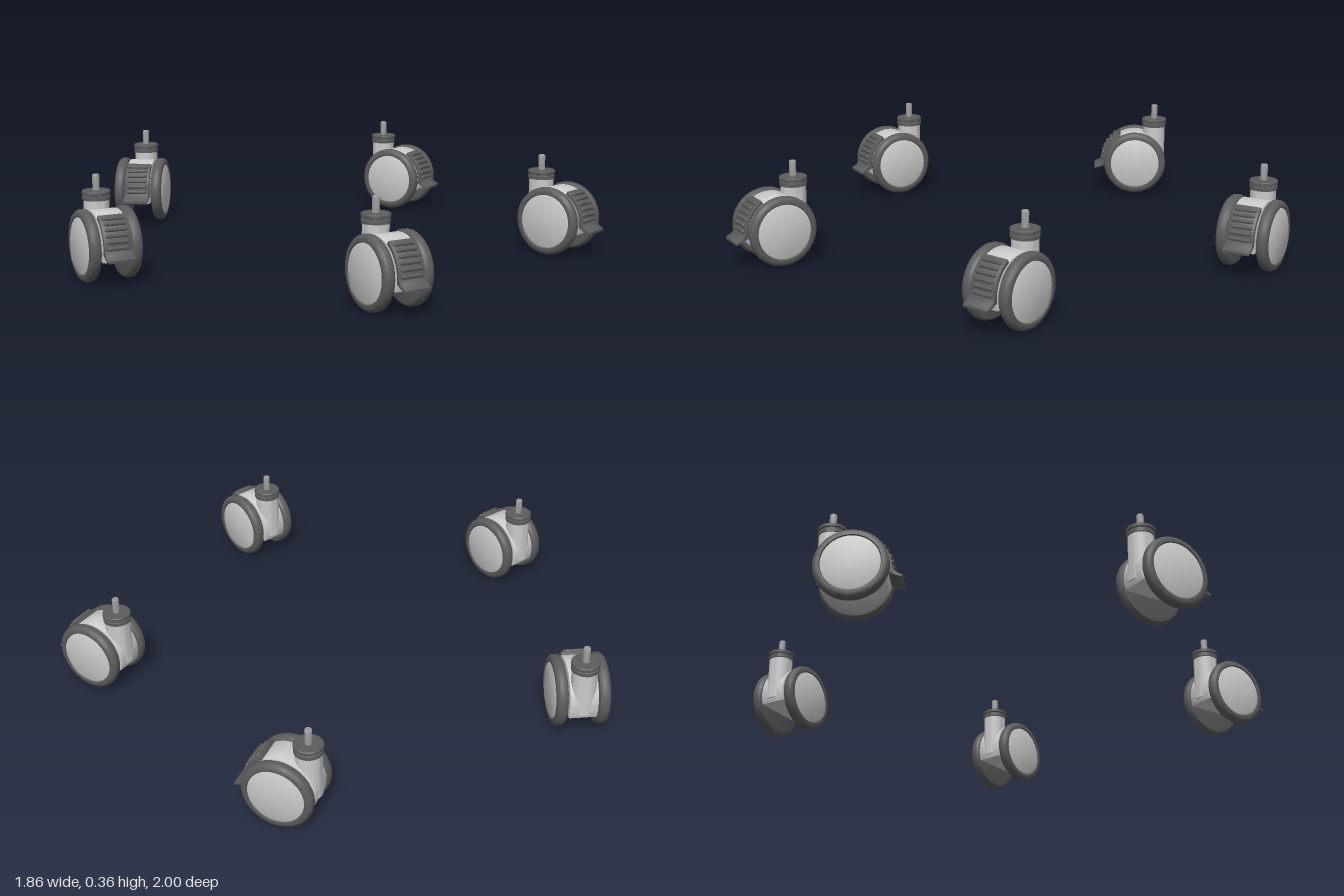
import * as THREE from 'three';
import { toCreasedNormals } from 'three/addons/utils/BufferGeometryUtils.js';

const R = 0.126;          // wheel radius
const OFFSET = 0.079;     // wheel axis behind the swivel stem
const grey = new THREE.MeshStandardMaterial({ color: 0xcccccc });
const dark = new THREE.MeshStandardMaterial({ color: 0x5c5c5c });
const steel = new THREE.MeshStandardMaterial({ color: 0x999999 });

function add(parent, name, geometry, material, x = 0, y = 0, z = 0) {
  const mesh = new THREE.Mesh(geometry, material);
  mesh.name = name;
  mesh.position.set(x, y, z);
  parent.add(mesh);
  return mesh;
}

// Lathe with crisp edges from [radius, height] pairs
function lathe(points, segments = 48) {
  const g = new THREE.LatheGeometry(points.map(p => new THREE.Vector2(p[0], p[1])), segments);
  return toCreasedNormals(g, 0.6);
}

// Side profile (shape x = model z) extruded across the width, centred on x = 0
function sideExtrude(shape, width, bevel = 0.003) {
  const g = new THREE.ExtrudeGeometry(shape, {
    depth: width - 2 * bevel, curveSegments: 32, bevelThickness: bevel,
    bevelSize: bevel, bevelOffset: -bevel, bevelSegments: 2,
  });
  g.translate(0, 0, -(width - 2 * bevel) / 2);
  g.rotateY(-Math.PI / 2);
  return toCreasedNormals(g, 0.6);
}

function wheel(side) {
  const g = new THREE.Group();
  g.name = side > 0 ? 'leftWheel' : 'rightWheel';
  // Tyre with rounded shoulders and a recess on its outer face
  const tyre = lathe([
    [0, 0], [0.108, 0], [0.119, 0.003], [0.124, 0.009], [R, 0.015], [R, 0.027],
    [0.124, 0.033], [0.119, 0.039], [0.11, 0.042], [0.102, 0.042], [0.1, 0.037], [0, 0.037],
  ]);
  tyre.rotateZ(-Math.PI / 2);
  add(g, 'tyre', tyre, dark);
  const cover = lathe([[0, 0.034], [0.099, 0.034], [0.099, 0.039], [0.095, 0.041], [0, 0.041]]);
  cover.rotateZ(-Math.PI / 2);
  add(g, 'wheelCover', cover, grey);
  g.position.x = side * 0.053;
  if (side < 0) g.rotation.y = Math.PI;
  return g;
}

function brakePedal() {
  const g = new THREE.Group();
  g.name = 'brakePedal';
  // Curved plate over the front of the hood, ending in a lip
  const s = new THREE.Shape();
  const a0 = 1.05, a1 = -0.12;
  s.absarc(0, 0, 0.117, a1, a0, false);
  s.absarc(0, 0, 0.131, a0, 0.02, true);
  s.lineTo(0.142, -0.012);
  s.lineTo(0.166, -0.025);
  s.lineTo(0.165, -0.034);
  s.lineTo(0.14, -0.027);
  s.closePath();
  add(g, 'pedalPlate', sideExtrude(s, 0.1), dark);
  // Grip ribs
  for (let i = 0; i < 6; i++) {
    const a = 0.07 + i * 0.165;
    const rib = add(g, 'pedalRib', new THREE.CapsuleGeometry(0.0075, 0.065, 4, 10), dark,
      0, Math.sin(a) * 0.132, Math.cos(a) * 0.132);
    rib.rotation.z = Math.PI / 2;
  }
  return g;
}

function caster() {
  const g = new THREE.Group();
  g.name = 'caster';

  // Swivel stem: neck, collar and threaded pin
  add(g, 'neck', lathe([[0, 0.1], [0.045, 0.1], [0.045, 0.272], [0, 0.272]], 32), grey);
  add(g, 'collar', lathe([
    [0, 0.268], [0.049, 0.268], [0.049, 0.28], [0.045, 0.282], [0.045, 0.286],
    [0.05, 0.288], [0.05, 0.297], [0.047, 0.3], [0, 0.3],
  ], 32), dark);
  add(g, 'pin', lathe([[0, 0.295], [0.0125, 0.295], [0.0125, 0.353], [0.0105, 0.356], [0, 0.356]], 20), steel);

  // Wheel unit around the axle
  const unit = new THREE.Group();
  unit.name = 'wheelUnit';
  unit.position.set(0, R, OFFSET);
  g.add(unit);

  const hood = new THREE.Shape();
  hood.absarc(0, 0, 0.12, -0.36, Math.PI + 0.36, false);
  hood.closePath();
  add(unit, 'hood', sideExtrude(hood, 0.1), grey);

  const axle = new THREE.CylinderGeometry(0.015, 0.015, 0.12, 20);
  axle.rotateZ(Math.PI / 2);
  add(unit, 'axle', axle, steel);
  unit.add(wheel(1), wheel(-1), brakePedal());
  return g;
}

export function createModel() {
  const model = new THREE.Group();
  model.name = 'casterSet';
  // Stem x, stem z and swivel angle of each caster
  const places = [
    [-0.22, -0.91, -0.66],
    [0.76, -0.59, 0.44],
    [-0.82, -0.08, -0.08],
    [0.76, 0.435, 0.28],
    [-0.22, 0.755, -0.03],
  ];
  for (const [x, z, turn] of places) {
    const c = caster();
    c.position.set(x, 0, z);
    c.rotation.y = turn;
    model.add(c);
  }
  return model;
}
